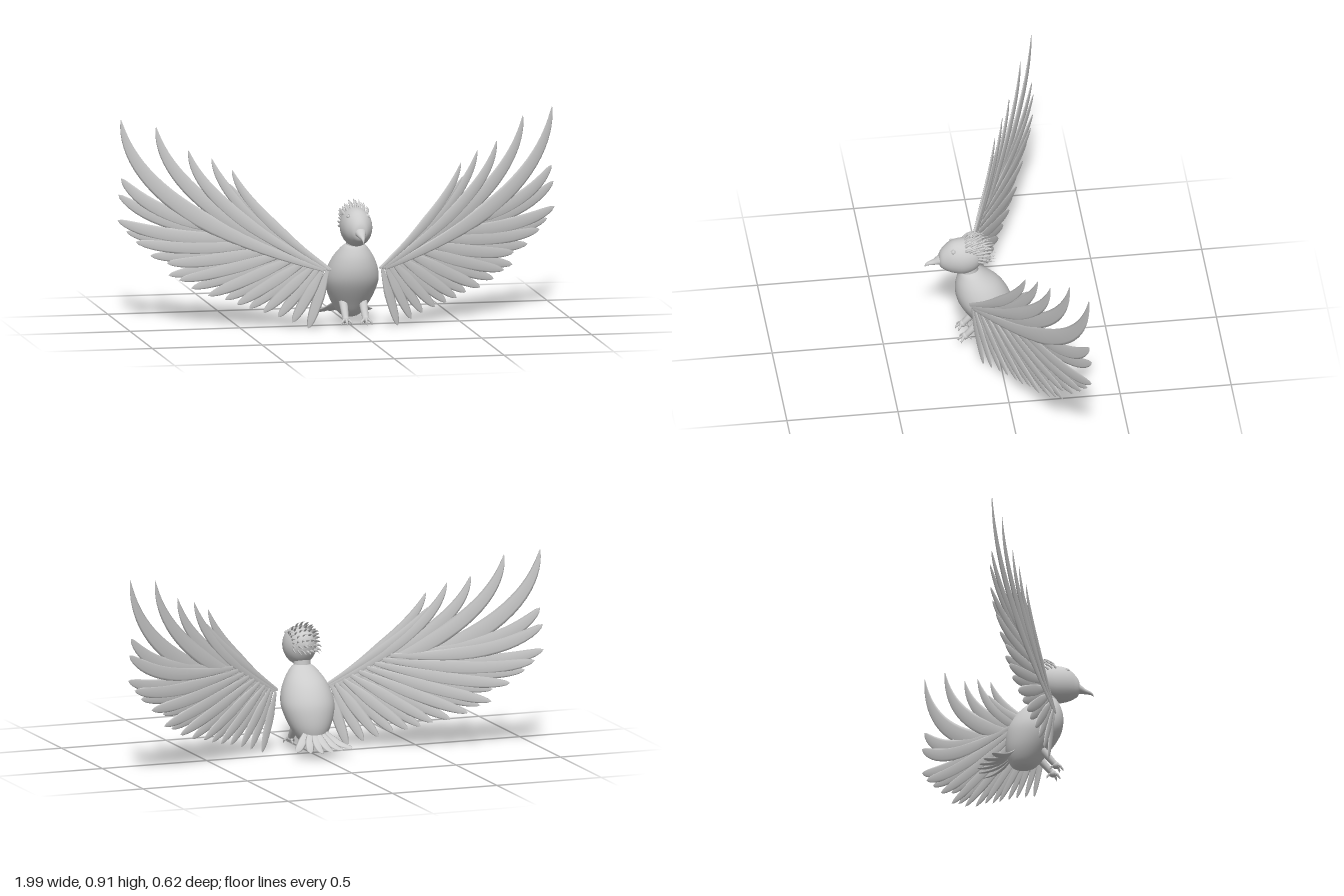
import * as THREE from 'three';

const V = (x, y, z) => new THREE.Vector3(x, y, z);
const material = new THREE.MeshStandardMaterial({ color: 0xcccccc, side: THREE.DoubleSide });

function add(parent, name, geometry) {
  const mesh = new THREE.Mesh(geometry, material);
  mesh.name = name;
  parent.add(mesh);
  return mesh;
}

// Skin over elliptical sections [centre, half axis a, half axis b], with a x b along the travel
function loft(sections, sides) {
  const pos = [], index = [];
  for (const [c, a, b] of sections)
    for (let j = 0; j < sides; j++) {
      const t = (j / sides) * Math.PI * 2;
      const p = c.clone().addScaledVector(a, Math.cos(t)).addScaledVector(b, Math.sin(t));
      pos.push(p.x, p.y, p.z);
    }
  for (let i = 0; i < sections.length - 1; i++)
    for (let j = 0; j < sides; j++) {
      const k = (j + 1) % sides, p = i * sides, q = p + sides;
      index.push(p + j, p + k, q + k, p + j, q + k, q + j);
    }
  const g = new THREE.BufferGeometry();
  g.setAttribute('position', new THREE.Float32BufferAttribute(pos, 3));
  g.setIndex(index);
  g.computeVertexNormals();
  return g;
}

// Smooth in-between rows for a short table of section values
function smoothRows(table, n) {
  const columns = table[0].map((_, c) =>
    new THREE.SplineCurve(table.map((row, i) => new THREE.Vector2(i, row[c]))));
  return Array.from({ length: n + 1 }, (_, i) => columns.map((s) => s.getPoint(i / n).y));
}

// Blade swept along a bent path; "face" is the direction its flat side looks
function blade(root, bend, tip, face, halfWidth, halfThick, taper, steps = 14, sides = 8) {
  const path = new THREE.QuadraticBezierCurve3(root, bend, tip);
  const sections = [];
  for (let i = 0; i <= steps; i++) {
    const t = 1 - (1 - i / steps) ** 1.3;
    const along = path.getTangent(t);
    const n = face.clone().addScaledVector(along, -face.dot(along)).normalize();
    const size = taper(t);
    sections.push([path.getPoint(t),
      n.clone().cross(along).multiplyScalar(halfWidth * size),
      n.multiplyScalar(halfThick * Math.max(size, 0.001))]);
  }
  return loft(sections, sides);
}

const featherTaper = (t) => Math.min(1, 0.3 + 1.8 * t) * Math.max(0, 1 - t ** 5) ** 0.6;
const primaryTaper = (t) => Math.min(1, 0.25 + 2 * t) * Math.max(0, 1 - t ** 3.5) ** 0.8;
const spikeTaper = (t) => Math.max(0, 1 - t * t);

// Wing feathers lie in one slanted plane
function makeWing(side) {
  const wing = new THREE.Group();
  wing.name = side > 0 ? 'leftWing' : 'rightWing';
  const face = V(side * 0.439, 0, 0.898);
  const place = (x, y, lift) => V(side * x, y, 0.179 - 0.489 * x).addScaledVector(face, lift);

  // Secondary feathers, from the body outward
  const tips = [[.205, .005], [.27, .03], [.33, .05], [.39, .07], [.45, .085], [.5, .1],
    [.55, .12], [.62, .135], [.69, .165], [.74, .2], [.785, .22], [.79, .275],
    [.86, .305], [.92, .365], [.96, .41], [.995, .46], [.992, .575], [.98, .65]];
  tips.forEach(([x, y], i) => {
    const k = i / (tips.length - 1);
    const rx = 0.125 + 0.27 * k, ry = 0.27 + 0.16 * k, lift = (i % 2) * 0.003 - 0.002;
    const bend = place((rx + x) / 2 + 0.15 * k ** 3, (ry + y) / 2 - 0.1 * k ** 2.2, lift);
    add(wing, 'secondaryFeather', blade(place(rx, ry, lift), bend, place(x, y, lift),
      face, 0.026 + 0.008 * k, 0.005, featherTaper));
  });

  // Long primaries: bend x, y, tip x, y, half width
  const primaries = [[.46, .52, .53, .645, .024], [.47, .53, .52, .71, .027],
    [.55, .53, .605, .757, .03], [.66, .54, .7, .79, .034],
    [.8, .55, .835, .89, .038], [.94, .5, .98, .917, .042]];
  primaries.forEach(([bx, by, x, y, w], i) => {
    const lift = 0.001 + (i % 2) * 0.003;
    add(wing, 'primaryFeather', blade(place(0.11 + i * 0.006, 0.275, lift),
      place(bx, by, lift), place(x, y, lift), face, w, 0.006, primaryTaper, 22));
  });
  return wing;
}

function makeLeg(side) {
  const leg = new THREE.Group();
  leg.name = side > 0 ? 'leftLeg' : 'rightLeg';
  const x = side * 0.045;
  add(leg, 'shank', blade(V(x, 0.15, 0.05), V(x, 0.09, 0.1), V(x, 0.05, 0.137), V(0, 0.6, 0.8),
    0.022, 0.02, (t) => 1 - 0.35 * t, 8, 12));
  const foot = add(leg, 'foot', new THREE.SphereGeometry(0.017, 14, 10));
  foot.position.set(x, 0.05, 0.137);
  // Three toes in front, one behind, each with a claw
  for (const [dx, dz] of [[-0.022, 0.02], [0, 0.03], [0.022, 0.02], [0, -0.025]]) {
    const knuckle = V(x + dx * 0.8, 0.042, 0.137 + dz * 0.7);
    add(leg, 'toe', blade(V(x, 0.05, 0.137), V(x + dx * 0.5, 0.052, 0.137 + dz * 0.5), knuckle,
      V(0, 1, 0), 0.008, 0.008, (t) => 1 - 0.3 * t, 5, 8));
    add(leg, 'claw', blade(knuckle, V(x + dx * 1.1, 0.04, 0.137 + dz), V(x + dx * 1.15, 0.024, 0.137 + dz * 1.1),
      V(0, 0.8, 0.6), 0.006, 0.006, spikeTaper, 6, 8));
  }
  return leg;
}

export function createModel() {
  const bird = new THREE.Group();
  bird.name = 'bird';

  // Egg-shaped body: height, front z, back z, half width
  const body = smoothRows([[.04, -.01, -.01, 0], [.055, .05, -.055, .045], [.12, .102, -.08, .09],
    [.2, .155, -.08, .118], [.26, .175, -.062, .116], [.32, .174, -.022, .094],
    [.37, .157, .04, .06], [.39, .14, .072, .036]], 36);
  add(bird, 'body', loft(body.map(([y, f, b, w]) =>
    [V(0, y, (f + b) / 2), V(0, 0, Math.max(0, (f - b) / 2)), V(Math.max(0, w), 0, 0)]), 32));

  const neck = add(bird, 'neck', new THREE.CylinderGeometry(0.037, 0.04, 0.06, 24));
  neck.position.set(0, 0.39, 0.112);

  // Head: z, centre y, half width, half height
  const head = smoothRows([[.042, .485, 0, 0], [.055, .483, .036, .042], [.09, .474, .062, .076],
    [.14, .468, .072, .087], [.19, .468, .064, .079], [.225, .463, .046, .058],
    [.246, .458, .027, .034], [.253, .456, 0, 0]], 32);
  add(bird, 'head', loft(head.map(([z, y, w, h]) =>
    [V(0, y, z), V(Math.max(0, w), 0, 0), V(0, Math.max(0, h), 0)]), 28));

  // Hooked beak
  const beak = smoothRows([[.225, .46, .032, .03], [.25, .455, .024, .021], [.275, .444, .015, .012],
    [.298, .438, .009, .008], [.31, .431, .005, .006], [.316, .418, 0, 0]], 18);
  add(bird, 'beak', loft(beak.map(([z, y, w, h]) =>
    [V(0, y, z), V(Math.max(0, w), 0, 0), V(0, Math.max(0, h), 0)]), 16));

  for (const side of [1, -1]) {
    // Eye with a raised rim
    const eye = new THREE.Group();
    eye.name = side > 0 ? 'leftEye' : 'rightEye';
    add(eye, 'eyeball', new THREE.SphereGeometry(0.009, 16, 12));
    add(eye, 'eyeRim', new THREE.TorusGeometry(0.0105, 0.0025, 8, 20));
    eye.position.set(side * 0.043, 0.522, 0.19);
    eye.lookAt(side * 0.13, 0.56, 0.235);
    bird.add(eye);
    bird.add(makeWing(side), makeLeg(side));
  }

  // Crest of spiky feathers, rows from the crown to the nape
  const crest = new THREE.Group();
  crest.name = 'crest';
  for (let row = 0; row < 7; row++) {
    const pitch = 0.1 + row * 0.27;
    const count = row % 2 ? 6 : 7;
    for (let i = 0; i < count; i++) {
      const yaw = ((i / (count - 1)) * 2 - 1) * 0.85;
      const out = V(Math.sin(yaw), Math.cos(yaw) * Math.cos(pitch), -Math.cos(yaw) * Math.sin(pitch));
      const root = V(out.x * 0.064, 0.468 + out.y * 0.08, 0.145 + out.z * 0.09);
      const length = 0.065 + 0.014 * ((row * 3 + i * 5) % 4) / 3;
      const bend = root.clone().addScaledVector(out, length * 0.35).add(V(0, 0.008, -0.01));
      const tip = root.clone().add(V(out.x * 0.014, out.y * 0.035 + 0.004 - row * 0.001, -length * 0.85));
      add(crest, 'crestFeather', blade(root, bend, tip, out, 0.007, 0.004, spikeTaper, 7, 6));
    }
  }
  bird.add(crest);

  // Fanned tail sweeping down and back
  const tail = new THREE.Group();
  tail.name = 'tail';
  for (const side of [1, -1])
    [[.025, -.208], [.078, -.195], [.135, -.165]].forEach(([x, z], i) => {
      add(tail, 'tailFeather', blade(V(side * x * 0.25, 0.13, -0.04), V(side * x * 0.6, 0.045, -0.105 + i * 0.01),
        V(side * x, 0.042 + i * 0.003, z), V(0, 0.8, -0.6), 0.02, 0.005, featherTaper));
    });
  bird.add(tail);
  return bird;
}
